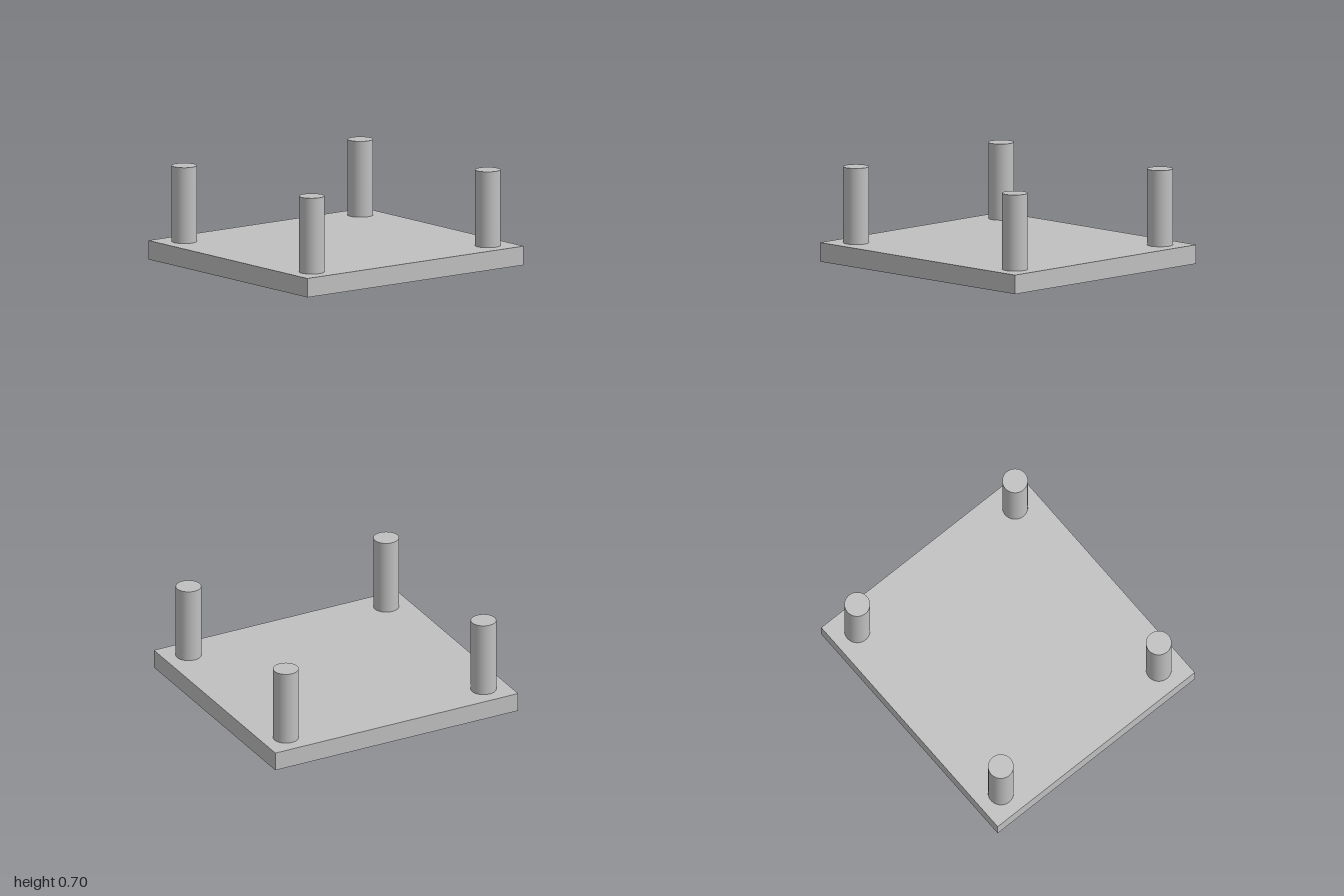
import * as THREE from 'three';

export function createModel() {
  const model = new THREE.Group();
  model.name = 'plateWithPosts';
  const grey = new THREE.MeshStandardMaterial({ color: 0xc0c0c0 });
  grey.name = 'light grey';

  const width = 1.86, depth = 2, thickness = 0.14, top = 0.7;

  // Flat base plate
  const plate = new THREE.Mesh(new THREE.BoxGeometry(width, thickness, depth), grey);
  plate.name = 'basePlate';
  plate.position.y = thickness / 2;
  model.add(plate);

  // Round post near each corner
  const postHeight = top - thickness;
  const postGeometry = new THREE.CylinderGeometry(0.093, 0.093, postHeight, 64);
  for (const [side, sx] of [['Left', 1], ['Right', -1]]) {
    for (const [end, sz] of [['front', 1], ['back', -1]]) {
      const post = new THREE.Mesh(postGeometry, grey);
      post.name = `${end}${side}Post`;
      post.position.set(sx * 0.745, thickness + postHeight / 2, sz * 0.814);
      model.add(post);
    }
  }
  return model;
}
